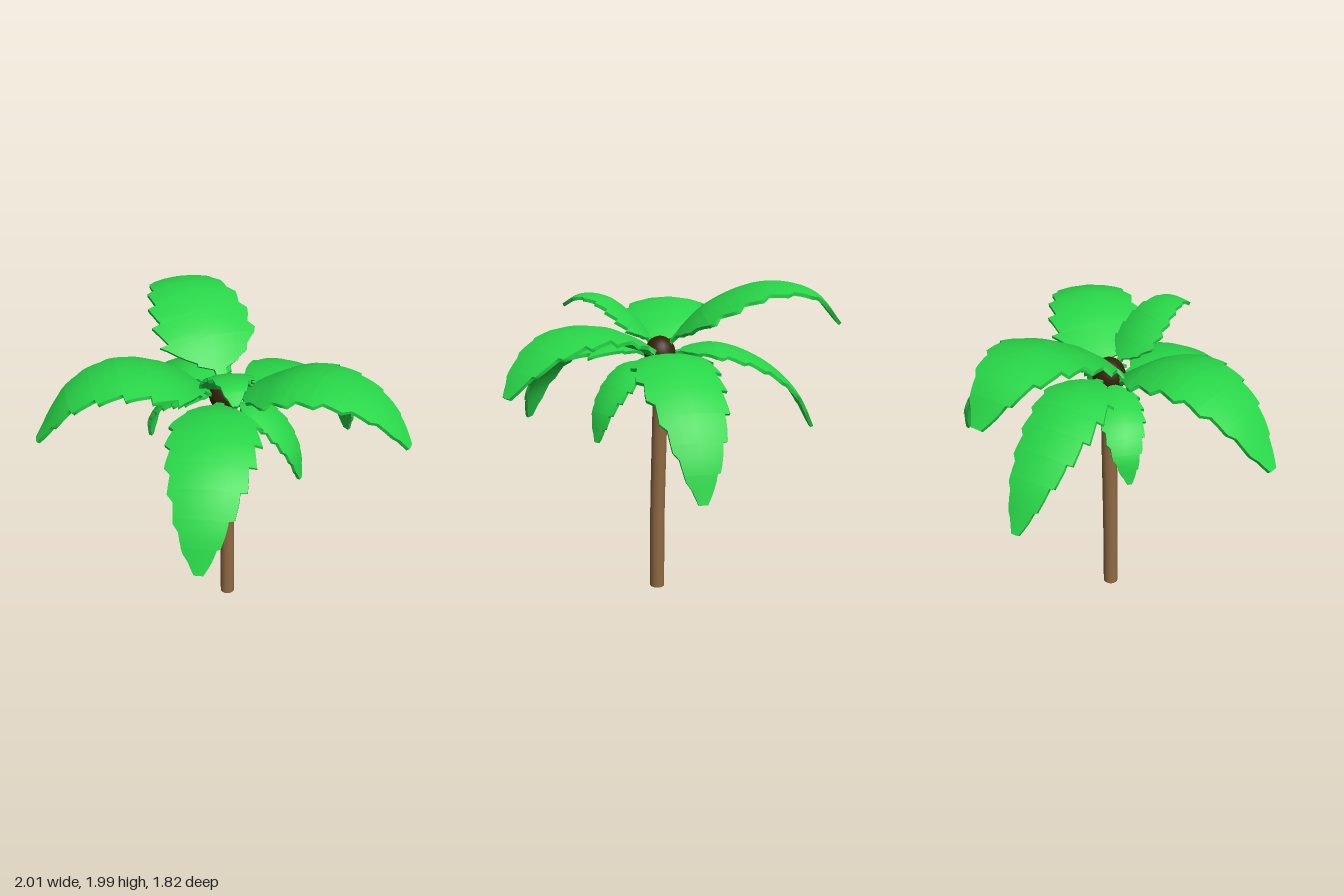
import * as THREE from 'three';

const mat = color => new THREE.MeshStandardMaterial({ color });
const curve = pts => new THREE.CatmullRomCurve3(pts.map(p => new THREE.Vector3(...p)));

// Width of a frond along its length, as [t, share of the full width]
const OUTLINE = [[0, 0.08], [0.06, 0.12], [0.09, 0.42], [0.15, 0.75], [0.23, 0.98], [0.36, 1],
  [0.5, 0.93], [0.65, 0.77], [0.8, 0.54], [0.92, 0.31], [1, 0.1]];
function outline(t) {
  const i = Math.max(1, OUTLINE.findIndex(p => p[0] >= t - 1e-6));
  const [a, wa] = OUTLINE[i - 1], [b, wb] = OUTLINE[i];
  return wa + (wb - wa) * (t - a) / (b - a);
}

// A thin arched blade with drooping sides and saw teeth that point to the tip
function frondGeometry(points, halfWidth, thickness = 0.02, droop = 0.2) {
  const path = curve(points), teeth = 7, steps = 4;
  const first = path.getPointAt(0), last = path.getPointAt(1);
  const across = new THREE.Vector3(first.z - last.z, 0, last.x - first.x).normalize();
  const rows = [];
  const addRow = (t, wl, wr) => {
    const c = path.getPointAt(t), tan = path.getTangentAt(t);
    const up = new THREE.Vector3().crossVectors(across, tan).normalize();
    if (up.y < 0) up.negate();
    const at = (w, side) => c.clone().addScaledVector(across, w)
      .addScaledVector(up, side * thickness / 2 - droop * w * w / halfWidth);
    const offsets = [wr, wr * 0.55, 0, -wl * 0.55, -wl];
    rows.push([...offsets.map(w => at(w, 1)), ...offsets.reverse().map(w => at(w, -1))]);
  };
  // Stations: the smooth stalk first, then the teeth, each ending in a notch
  for (const t of [0, 0.06, 0.09]) addRow(t, halfWidth * outline(t), halfWidth * outline(t));
  for (let k = 0; k < teeth; k++) {
    for (let s = 0; s <= steps; s++) {
      const f = s / steps, t = 0.1 + 0.9 * (k + f) / teeth;
      const w = halfWidth * outline(Math.min(t, 1));
      const left = 0.88 + 0.18 * f, right = 0.88 + 0.18 * ((f + 0.5) % 1);
      addRow(Math.min(t + (s === 0 ? 0.004 : 0), 1), w * left, w * right);
    }
  }
  const pos = [], idx = [];
  // Each strip has its own vertices, so the rims stay sharp
  for (const strip of [[0, 1, 2, 3, 4], [4, 5], [5, 6, 7, 8, 9], [9, 0]]) {
    const base = pos.length / 3, n = strip.length;
    rows.forEach(r => strip.forEach(j => pos.push(...r[j].toArray())));
    for (let i = 0; i < rows.length - 1; i++) {
      for (let j = 0; j < n - 1; j++) {
        const a = base + i * n + j, b = a + 1, c = a + n, d = c + 1;
        idx.push(a, c, b, b, c, d);
      }
    }
  }
  // Tip cap
  const base = pos.length / 3, end = rows[rows.length - 1];
  [0, 4, 5, 9].forEach(j => pos.push(...end[j].toArray()));
  idx.push(base, base + 3, base + 2, base, base + 2, base + 1);
  // Make the faces run outward
  const p = rows[8], normal = new THREE.Vector3().crossVectors(
    rows[10][2].clone().sub(p[2]), p[3].clone().sub(p[2]));
  if (normal.dot(p[2].clone().sub(p[7])) < 0) idx.reverse();
  const g = new THREE.BufferGeometry();
  g.setAttribute('position', new THREE.Float32BufferAttribute(pos, 3));
  g.setIndex(idx);
  g.computeVertexNormals();
  return g;
}

// Half width and spine points of every frond
const FRONDS = {
  leftFrond: [0.27, [[-0.06, 1.56, -0.05], [0.1, 1.67, -0.06], [0.3, 1.77, -0.06], [0.52, 1.795, -0.06],
    [0.75, 1.73, -0.06], [0.9, 1.62, -0.05], [0.995, 1.5, -0.04]]],
  frontFrond: [0.26, [[-0.12, 1.54, 0.03], [-0.05, 1.595, 0.22], [0.03, 1.575, 0.45], [0.1, 1.45, 0.67],
    [0.14, 1.25, 0.82], [0.16, 1.02, 0.9]]],
  frontRightFrond: [0.26, [[-0.18, 1.57, 0], [-0.36, 1.74, 0.17], [-0.6, 1.795, 0.34], [-0.82, 1.69, 0.5],
    [-0.985, 1.42, 0.65]]],
  backRightUpperFrond: [0.3, [[-0.16, 1.62, -0.09], [-0.32, 1.85, -0.25], [-0.56, 1.98, -0.48],
    [-0.77, 1.93, -0.68], [-0.88, 1.75, -0.8]]],
  backRightLowerFrond: [0.21, [[-0.17, 1.56, -0.09], [-0.38, 1.61, -0.26], [-0.6, 1.52, -0.42],
    [-0.78, 1.32, -0.57], [-0.87, 1.08, -0.66]]],
  backLeftFrond: [0.24, [[-0.09, 1.55, -0.12], [0.05, 1.62, -0.3], [0.18, 1.58, -0.5], [0.29, 1.42, -0.71],
    [0.36, 1.2, -0.83], [0.39, 0.98, -0.88]]],
  rightSmallFrond: [0.13, [[-0.18, 1.54, -0.04], [-0.34, 1.53, -0.04], [-0.5, 1.46, -0.03],
    [-0.61, 1.32, -0.03], [-0.635, 1.16, -0.02]]],
  leftSmallFrond: [0.13, [[-0.06, 1.52, -0.04], [0.08, 1.52, -0.04], [0.22, 1.44, -0.04],
    [0.33, 1.29, -0.03], [0.37, 1.11, -0.03]]],
  raisedSmallFrond: [0.15, [[-0.11, 1.62, 0], [-0.04, 1.77, 0.12], [0.05, 1.88, 0.26], [0.13, 1.89, 0.38],
    [0.18, 1.83, 0.47]]],
};

export function createModel() {
  const model = new THREE.Group();
  const add = (name, geometry, material) => {
    const mesh = new THREE.Mesh(geometry, material);
    mesh.name = name;
    model.add(mesh);
    return mesh;
  };

  // Gently bowed trunk: a cylinder whose rings follow a curve
  const spine = curve([[-0.125, 0, -0.045], [-0.122, 0.5, -0.045], [-0.127, 1, -0.05], [-0.135, 1.5, -0.055]]);
  const trunk = new THREE.CylinderGeometry(0.047, 0.047, 1.5, 20, 16);
  const p = trunk.attributes.position;
  for (let i = 0; i < p.count; i++) {
    const c = spine.getPointAt(THREE.MathUtils.clamp(p.getY(i) / 1.5 + 0.5, 0, 1));
    p.setXYZ(i, p.getX(i) + c.x, c.y, p.getZ(i) + c.z);
  }
  trunk.computeVertexNormals();
  add('trunk', trunk, mat(0x8f6a43));

  // Dark round crown at the head of the trunk
  const crown = add('crown', new THREE.SphereGeometry(0.095, 24, 16), mat(0x36210a));
  crown.position.set(-0.128, 1.56, -0.05);
  crown.scale.y = 1.15;

  const green = mat(0x28d648);
  for (const [name, [halfWidth, points]] of Object.entries(FRONDS)) {
    add(name, frondGeometry(points, halfWidth), green);
  }
  return model;
}
